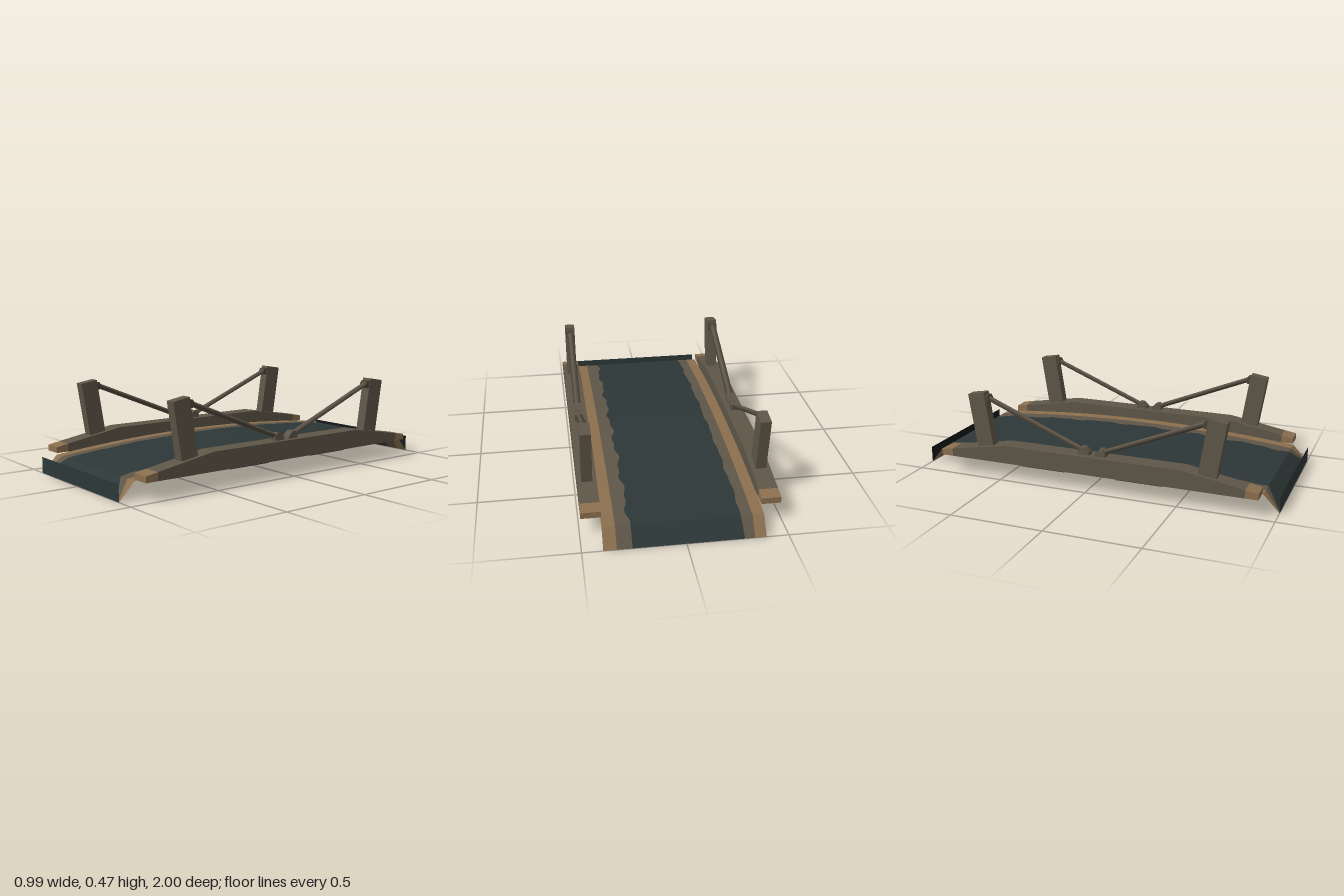
import * as THREE from 'three';

const mat = (name, color, side = THREE.FrontSide) => {
  const m = new THREE.MeshStandardMaterial({ color, side });
  m.name = name;
  return m;
};

export function createModel() {
  const root = new THREE.Group();
  root.name = 'bridge';
  const D = THREE.DoubleSide;
  const tan = mat('worn tan', 0x8b6f4e, D);
  const grey = mat('weathered grey', 0x5e5648, D);
  const slate = mat('slate', 0x2d3737, D);
  const black = mat('shadow black', 0x141919);
  const rodMat = mat('dark rod', 0x4a4339);

  const add = (parent, name, geo, material) => {
    const m = new THREE.Mesh(geo, material);
    m.name = name;
    parent.add(m);
    return m;
  };

  // Side profile given as [z, y] points, extruded across x and centred
  const slab = (pts, width) => {
    const shape = new THREE.Shape(pts.map(([z, y]) => new THREE.Vector2(z, y)));
    const g = new THREE.ExtrudeGeometry(shape, { depth: width, bevelEnabled: false });
    return g.translate(0, 0, -width / 2).rotateY(-Math.PI / 2);
  };

  // Deck: a thin arched sheet with sloping end flaps
  const zBack = -0.93, zFront = 0.915;
  const deckY = (z) => {
    if (z > zFront) return 0.088 * (1 - z) / (1 - zFront);
    if (z < zBack) return 0.088 * (1 + z) / (1 + zBack);
    return 0.137 - 0.049 * Math.pow(Math.abs(z) / 0.92, 2);
  };
  const zs = [-1];
  for (let i = 0; i <= 60; i++) zs.push(zBack + (zFront - zBack) * i / 60);
  zs.push(1);

  // Colour bands narrow towards the corners of the front flap
  const taper = (z) => (z > zFront ? 1 - 0.85 * (z - zFront) / (1 - zFront) : 1);
  const wave = (z, p) => 0.008 * Math.sin(21 * z + p) + 0.006 * Math.sin(47 * z + 2 * p);
  const lines = [
    () => -0.39,
    (z) => -0.39 + 0.057 * taper(z),
    (z) => -0.39 + (0.112 + 0.5 * wave(z, 1)) * taper(z),
    (z) => 0.398 - (0.132 + wave(z, 3)) * taper(z),
    (z) => 0.398 - 0.064 * taper(z),
    () => 0.398,
  ];
  const band = (left, right) => {
    const pos = [], idx = [];
    zs.forEach((z, i) => {
      pos.push(left(z), deckY(z), z, right(z), deckY(z), z);
      if (i) {
        const a = 2 * i - 2;
        idx.push(a, a + 2, a + 1, a + 1, a + 2, a + 3);
      }
    });
    const g = new THREE.BufferGeometry();
    g.setAttribute('position', new THREE.Float32BufferAttribute(pos, 3));
    g.setIndex(idx);
    const flat = g.toNonIndexed();
    flat.computeVertexNormals();
    return flat;
  };
  const deck = new THREE.Group();
  deck.name = 'deck';
  root.add(deck);
  [tan, grey, slate, grey, tan].forEach((m, i) =>
    add(deck, 'deckBand' + (i + 1), band(lines[i], lines[i + 1]), m));

  // Upright lips at both ends
  add(deck, 'frontLip', new THREE.PlaneGeometry(0.788, 0.087), slate).position.set(0.004, 0.0435, 1);
  add(deck, 'backLip', new THREE.PlaneGeometry(0.788, 0.087), black).position.set(0.004, 0.0435, -1);

  // Side beams with posts and braces, mirrored left and right
  const topY = (z) => (z < 0.495 ? 0.195 : 0.195 - 0.067 * (z - 0.495) / 0.39);
  const split = 0.82, end = 0.887, low = 0.096;
  for (const side of [1, -1]) {
    const rail = new THREE.Group();
    rail.name = side > 0 ? 'leftRail' : 'rightRail';
    rail.position.set(side * 0.4435, 0, 0.025);
    root.add(rail);

    add(rail, 'beam', slab([
      [-split, low], [split, low], [split, topY(split)], [0.495, 0.195],
      [-0.495, 0.195], [-split, topY(split)],
    ], 0.099), grey);

    for (const f of [1, -1]) {
      const fz = (pts) => pts.map(([z, y]) => [z * f, y]);

      add(rail, 'beamEnd', slab(fz([
        [split, low], [end, low], [end, topY(end)], [split, topY(split)],
      ]), 0.099), tan);

      // Dark patch under the beam
      add(rail, 'underPatch', new THREE.BoxGeometry(0.097, 0.004, 0.25), slate)
        .position.set(0, low - 0.001, f * 0.27);

      // Leaning post
      add(rail, 'post', slab(fz([
        [0.57, 0.15], [0.667, 0.15], [0.715, 0.455], [0.62, 0.471],
      ]), 0.055), grey);

      // Brackets at both ends of the brace
      add(rail, 'upperBracket', slab(fz([
        [0.622, 0.418], [0.6, 0.416], [0.59, 0.436], [0.6, 0.456], [0.628, 0.458],
      ]), 0.048), rodMat);
      add(rail, 'lowerBracket', slab(fz([
        [0.012, 0.19], [0.075, 0.19], [0.078, 0.215], [0.062, 0.235], [0.04, 0.232], [0.018, 0.21],
      ]), 0.045), grey);

      // Diagonal brace: a sleeve with a slim rod along each side
      const a = new THREE.Vector3(0, 0.212, f * 0.05);
      const b = new THREE.Vector3(0, 0.438, f * 0.605);
      const brace = new THREE.Group();
      brace.name = 'brace';
      brace.position.copy(a).add(b).multiplyScalar(0.5);
      brace.quaternion.setFromUnitVectors(new THREE.Vector3(0, 1, 0), b.clone().sub(a).normalize());
      rail.add(brace);
      const len = a.distanceTo(b);
      add(brace, 'sleeve', new THREE.CylinderGeometry(0.014, 0.014, len, 8), grey);
      for (const s of [1, -1]) {
        add(brace, 'sideRod', new THREE.CylinderGeometry(0.008, 0.008, len, 6), rodMat)
          .position.x = s * 0.013;
      }
    }
  }
  return root;
}
